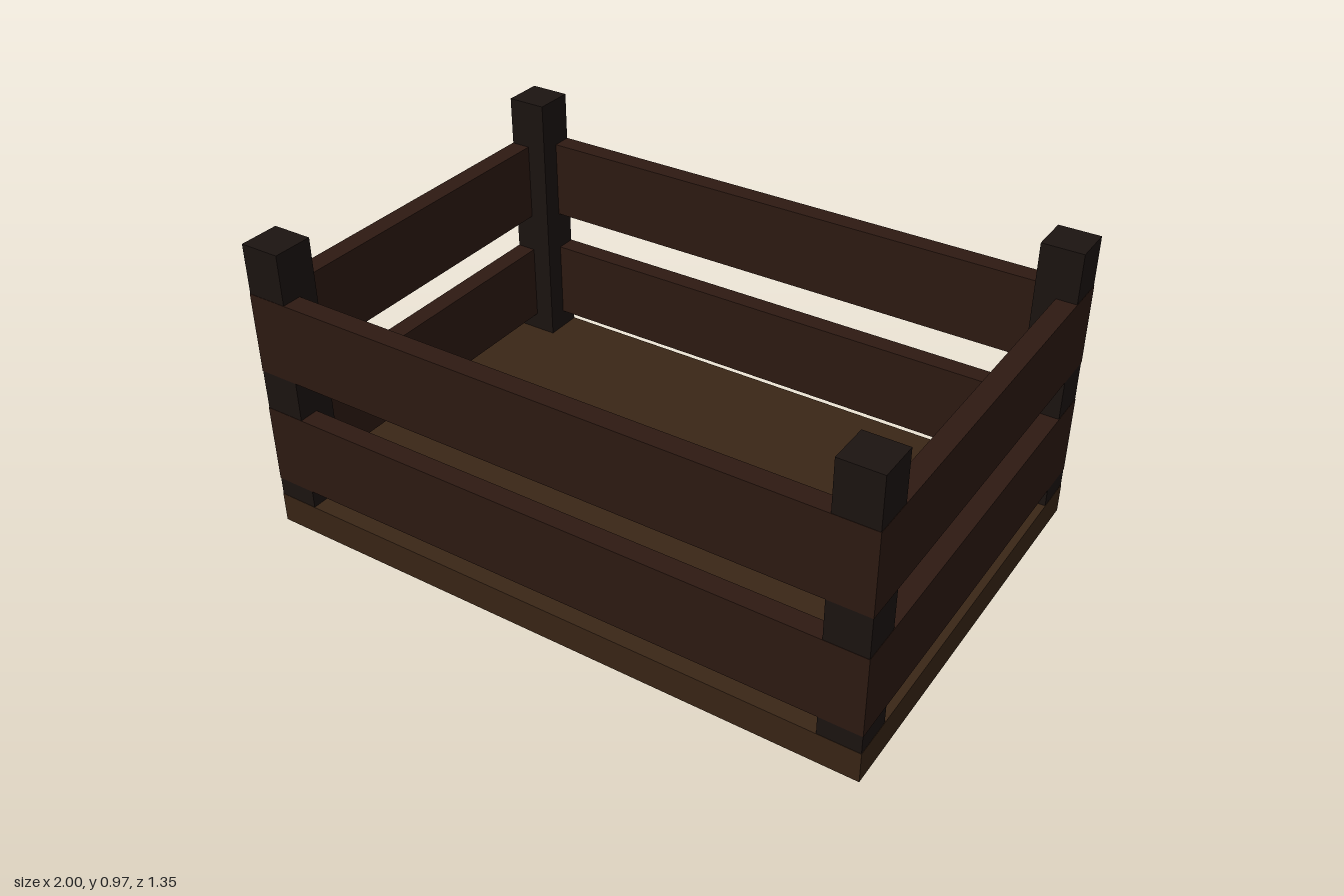
import * as THREE from 'three';

const W = 2, D = 1.35, H = 0.97;          // overall size
const POST = 0.13, SLAT_H = 0.26, SLAT_T = 0.065, BASE_H = 0.1;
const GAP = 0.001;                        // keeps posts just behind the slat faces

export function createModel() {
  const crate = new THREE.Group();
  crate.name = 'crate';

  const baseWood = new THREE.MeshStandardMaterial({ color: 0x3a2616 });
  const slatWood = new THREE.MeshStandardMaterial({ color: 0x2e1a12 });
  const postWood = new THREE.MeshStandardMaterial({ color: 0x1c1411 });

  // Box resting on height y
  const board = (name, material, w, h, d, x, y, z) => {
    const mesh = new THREE.Mesh(new THREE.BoxGeometry(w, h, d), material);
    mesh.name = name;
    mesh.position.set(x, y + h / 2, z);
    crate.add(mesh);
  };

  // Solid floor
  board('base', baseWood, W, BASE_H, D, 0, 0, 0);

  for (const s of [-1, 1]) {
    const end = s > 0 ? 'front' : 'back';
    const side = s > 0 ? 'left' : 'right';

    // Corner posts
    for (const t of [-1, 1]) {
      board(end + (t > 0 ? 'Left' : 'Right') + 'Post', postWood, POST, H - GAP, POST,
        t * (W / 2 - POST / 2 - GAP), GAP, s * (D / 2 - POST / 2 - GAP));
    }

    // Two rows of slats; side slats fit between the long ones
    [0.16, 0.55].forEach((y, i) => {
      const row = i ? 'UpperSlat' : 'LowerSlat';
      board(end + row, slatWood, W, SLAT_H, SLAT_T, 0, y, s * (D - SLAT_T) / 2);
      board(side + row, slatWood, SLAT_T, SLAT_H, D - 2 * SLAT_T, s * (W - SLAT_T) / 2, y, 0);
    });
  }
  return crate;
}
